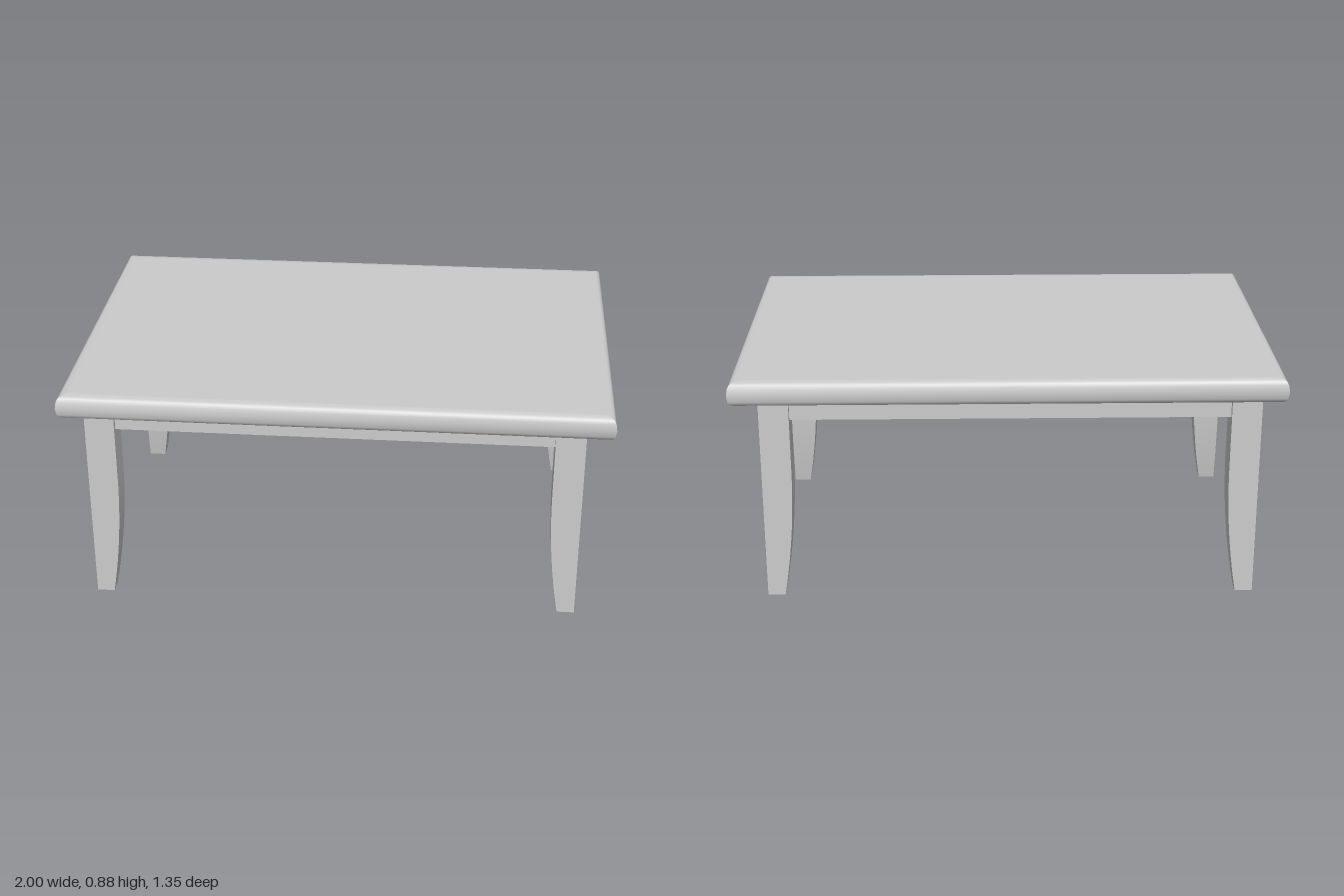
import * as THREE from 'three';

const grey = new THREE.MeshStandardMaterial({ color: 0xcccccc });

// Loft through rectangles [x0, x1, z0, z1, y] from bottom to top.
// Each side is smooth along its height, with sharp corners and flat caps.
function loftRects(sections) {
  const positions = [], index = [];
  const corners = ([x0, x1, z0, z1, y]) => [[x0, y, z1], [x1, y, z1], [x1, y, z0], [x0, y, z0]];
  const rings = sections.map(corners);
  for (let side = 0; side < 4; side++) {
    const base = positions.length / 3;
    rings.forEach((ring, i) => {
      positions.push(...ring[side], ...ring[(side + 1) % 4]);
      if (i === 0) return;
      const a = base + (i - 1) * 2;
      index.push(a, a + 1, a + 3, a, a + 3, a + 2);
    });
  }
  const addCap = (ring) => {
    const b = positions.length / 3;
    ring.forEach((p) => positions.push(...p));
    index.push(b, b + 1, b + 2, b, b + 2, b + 3);
  };
  addCap(rings[rings.length - 1]);
  addCap([...rings[0]].reverse());
  const geometry = new THREE.BufferGeometry();
  geometry.setAttribute('position', new THREE.Float32BufferAttribute(positions, 3));
  geometry.setIndex(index);
  geometry.computeVertexNormals();
  return geometry;
}

function addMesh(group, name, geometry, x = 0, y = 0, z = 0) {
  const mesh = new THREE.Mesh(geometry, grey);
  mesh.name = name;
  mesh.position.set(x, y, z);
  group.add(mesh);
}

export function createModel() {
  const table = new THREE.Group();
  table.name = 'table';

  // Slab with a softly bulging, mitred edge: [inset, height]
  const edge = [
    [0.04, 0.795], [0.02, 0.797], [0.01, 0.803], [0.004, 0.815], [0, 0.84],
    [0.004, 0.865], [0.01, 0.877], [0.02, 0.883], [0.04, 0.885],
  ];
  addMesh(table, 'tableTop', loftRects(edge.map(([d, y]) => [d - 1, 1 - d, d - 0.675, 0.675 - d, y])));

  // Legs: outer faces straight, inner faces curving in towards the foot
  const centreX = -0.01;
  const steps = 12, topY = 0.8, curveY = 0.5;
  for (const sx of [-1, 1]) {
    for (const sz of [-1, 1]) {
      const sections = [];
      for (let i = 0; i <= steps; i++) {
        const y = i < steps ? (curveY * i) / (steps - 1) : topY;
        const taper = 0.045 * Math.pow(Math.max(0, 1 - y / curveY), 2);
        const xs = [sx * 0.915, sx * (0.805 + taper)].map((v) => v + centreX);
        const zs = [sz * 0.57, sz * (0.466 + taper)];
        sections.push([Math.min(...xs), Math.max(...xs), Math.min(...zs), Math.max(...zs), y]);
      }
      addMesh(table, (sz > 0 ? 'front' : 'back') + (sx > 0 ? 'Left' : 'Right') + 'Leg', loftRects(sections));
    }
  }

  // Apron rails between the legs
  for (const s of [-1, 1]) {
    addMesh(table, s > 0 ? 'frontApron' : 'backApron',
      new THREE.BoxGeometry(1.62, 0.1, 0.07), centreX, 0.75, s * 0.515);
    addMesh(table, s > 0 ? 'leftApron' : 'rightApron',
      new THREE.BoxGeometry(0.07, 0.1, 0.94), centreX + s * 0.862, 0.75, 0);
  }
  return table;
}
